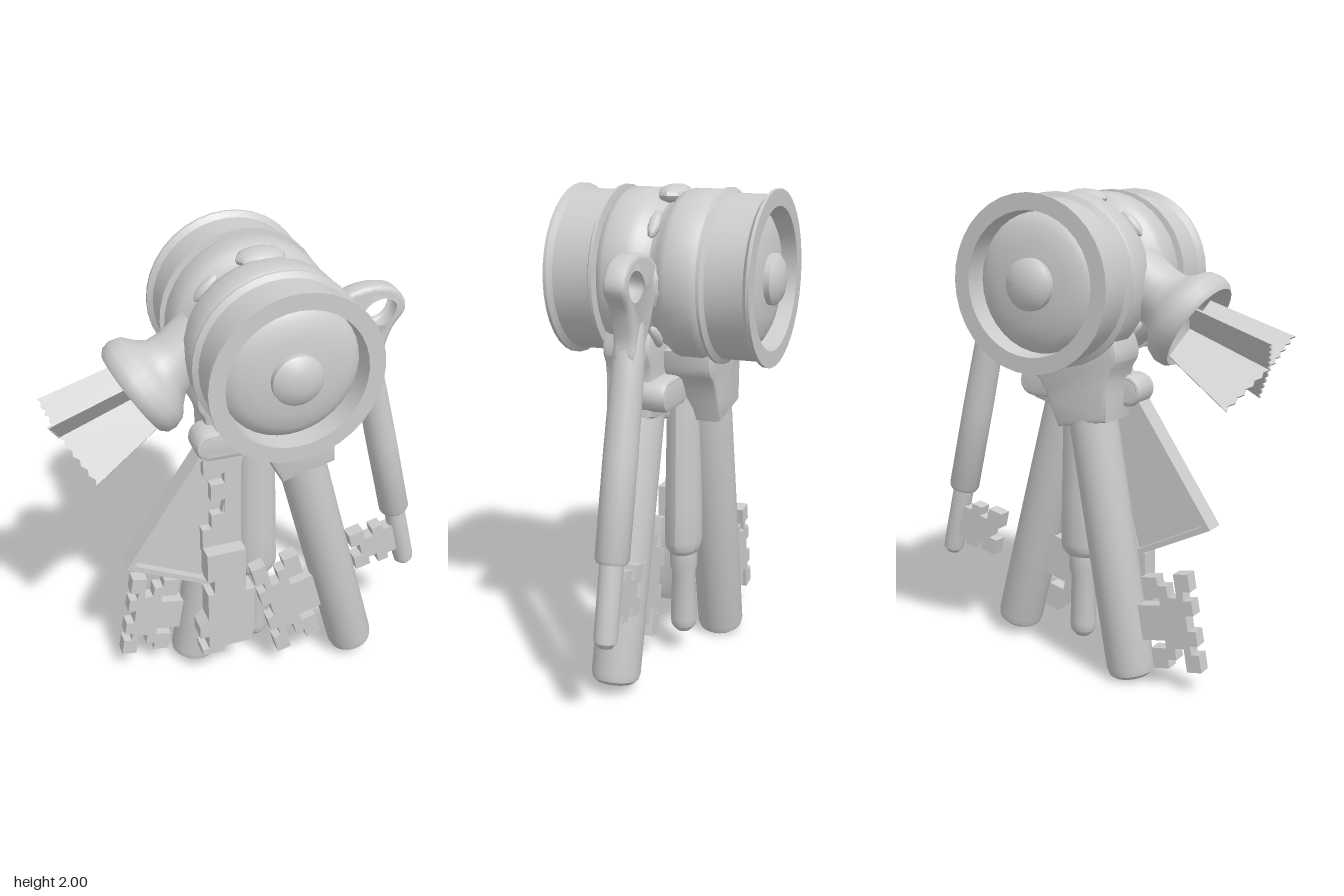
import * as THREE from 'three';
import { toCreasedNormals } from 'three/addons/utils/BufferGeometryUtils.js';

const grey = new THREE.MeshStandardMaterial({ color: 0xcccccc, side: THREE.DoubleSide });
grey.name = 'grey metal';

function part(parent, name, geometry, crease = 0.6) {
  const mesh = new THREE.Mesh(toCreasedNormals(geometry, crease), grey);
  mesh.name = name;
  parent.add(mesh);
  return mesh;
}
const vectors = (pts) => pts.map(([x, y]) => new THREE.Vector2(x, y));
const lathe = (pts, sides = 24) => new THREE.LatheGeometry(vectors(pts), sides);

// Flat plate in the xy plane, centred on z, with optional holes and bevel
function plate(pts, depth, { holes = [], bevel = 0 } = {}) {
  const shape = new THREE.Shape(vectors(pts));
  holes.forEach((h) => shape.holes.push(new THREE.Path(vectors(h))));
  const g = new THREE.ExtrudeGeometry(shape, {
    depth: depth - 2 * bevel, bevelEnabled: bevel > 0, bevelSize: bevel,
    bevelThickness: bevel, bevelOffset: -bevel, bevelSegments: 2, curveSegments: 6,
  });
  return g.translate(0, 0, bevel - depth / 2);
}

// Closed outline smoothed through a few points
function smooth(pts, n = 40) {
  const c = new THREE.CatmullRomCurve3(pts.map(([x, y]) => new THREE.Vector3(x, y, 0)), true);
  return c.getPoints(n).slice(0, n).map((p) => [p.x, p.y]);
}

// Horizontal stadium outline
function stadium(x0, x1, y, r) {
  const pts = [];
  for (let i = 0; i <= 8; i++) pts.push([x1 - r + r * Math.sin(Math.PI * i / 8), y - r * Math.cos(Math.PI * i / 8)]);
  for (let i = 0; i <= 8; i++) pts.push([x0 + r - r * Math.sin(Math.PI * i / 8), y + r * Math.cos(Math.PI * i / 8)]);
  return pts;
}

// Toothed bit of a key: upper half of the outline, mirrored about its middle
function bit(top, length) {
  const half = [
    [-0.05, 0.32], [-0.2, 0.32], [-0.2, 0.24], [-0.13, 0.24], [-0.13, 0.03], [-0.2, 0.03], [-0.2, 0.12],
    [-0.24, 0.12], [-0.24, 0.24], [-0.28, 0.24], [-0.28, 0], [-0.345, 0], [-0.345, 0.18],
    [-0.31, 0.18], [-0.31, 0.27], [-0.345, 0.27], [-0.345, 0.42], [-0.31, 0.42],
  ];
  const all = [...half, ...half.slice().reverse().map(([x, t]) => [x, 1 - t])];
  return plate(all.map(([x, t]) => [x, -top - t * length]), 0.06);
}

function createDrum(group) {
  const drum = new THREE.Group();
  drum.name = 'drum';
  drum.position.set(0.06, 1.65, 0);
  group.add(drum);

  // Body, flanges, recessed domed ends and hubs as one mirrored profile
  const half = [
    [0.29, 0], [0.3, 0.03], [0.325, 0.05], [0.336, 0.08], [0.336, 0.17], [0.325, 0.195], [0.31, 0.205],
    [0.343, 0.21], [0.343, 0.222], [0.322, 0.235], [0.322, 0.385], [0.343, 0.402], [0.343, 0.415],
    [0.278, 0.415], [0.272, 0.33], [0.255, 0.35], [0.22, 0.37], [0.16, 0.385], [0.1, 0.392],
    [0.1, 0.415], [0.08, 0.432], [0.04, 0.445], [0, 0.448],
  ];
  const profile = [...half.slice(1).reverse().map(([r, z]) => [r, -z]), ...half];
  part(drum, 'drumBody', lathe(profile, 36).rotateX(Math.PI / 2));

  // Lugs and small studs along the central groove
  for (let i = 0; i < 8; i++) {
    const lug = i % 2 === 0;
    const size = lug ? [0.1, 0.04, 0.068] : [0.065, 0.025, 0.025];
    const g = new THREE.SphereGeometry(1, 10, 8).scale(...size).translate(0, lug ? 0.31 : 0.305, 0);
    part(drum, lug ? 'grooveLug' : 'grooveStud', g).rotation.z = i * Math.PI / 4;
  }

  // Two thick barrels with sockets and bits, radial to the drum
  for (const [name, angle, z, bitTop, bitLength] of [
    ['frontBarrel', 0.257, 0.1, 1.01, 0.51],
    ['rearBarrel', -0.174, -0.1, 1.217, 0.41],
  ]) {
    const arm = new THREE.Group();
    arm.name = name;
    arm.position.z = z;
    arm.rotation.z = angle;
    drum.add(arm);
    part(arm, 'barrelTube', lathe([[0, -1.658], [0.075, -1.658], [0.093, -1.643], [0.1, -1.615], [0.1, -0.5], [0, -0.5]]));
    const side = [[0.2, -0.25], [0.21, -0.31], [0.2, -0.35], [0.172, -0.38], [0.15, -0.43], [0.14, -0.48], [0.117, -0.58]];
    const outline = [...side, ...side.slice().reverse().map(([x, y]) => [-x, y])];
    part(arm, 'barrelSocket', plate(outline, 0.2, { bevel: 0.02 }));
    part(arm, 'barrelBit', bit(bitTop, bitLength));
  }
}

function createHorn(group) {
  // Flared horn on the drum's right side
  const axis = new THREE.Vector3(0.836, 0.549, 0).normalize();
  const horn = part(group, 'horn', lathe([
    [0, 0.1], [0.1, 0.07], [0.16, 0.01], [0.185, -0.005], [0.203, 0.015], [0.208, 0.05], [0.195, 0.09],
    [0.155, 0.125], [0.125, 0.16], [0.118, 0.22], [0.13, 0.34],
  ], 28), 1.2);
  horn.position.set(-0.455, 1.48, 0);
  horn.quaternion.setFromUnitVectors(new THREE.Vector3(0, 1, 0), axis);

  // Four thin flaring fins with ragged ends, crossed like an X
  const along = new THREE.Vector3(-0.93, -0.365, 0).normalize();
  for (const [up, z, end, root] of [[0.127, 0.11, 0.37, 0.85], [-0.173, 0.16, 0.32, 0.62]]) {
    for (const s of [1, -1]) {
      const reach = Math.hypot(up, z);
      const dir = new THREE.Vector3(0.365 * -up, 0.93 * up, s * z).normalize();
      const pts = [[0, 0], [0, reach * root]];
      for (let i = 0; i <= 10; i++) {
        const t = 1 - i / 10;
        pts.push([0.365 + (end - 0.365) * t - (i % 2) * 0.012, reach * t]);
      }
      const fin = part(group, 'hornFin', plate(pts, 0.008));
      fin.matrix.makeBasis(along, dir, along.clone().cross(dir));
      fin.matrix.setPosition(-0.42, 1.47, 0);
      fin.matrix.decompose(fin.position, fin.quaternion, fin.scale);
    }
  }
}

function createLongKey(group) {
  const key = new THREE.Group();
  key.name = 'longKey';
  group.add(key);
  // Loop handle and flared neck
  const outer = smooth([[0.34, 1.7], [0.41, 1.765], [0.52, 1.787], [0.62, 1.76], [0.665, 1.68], [0.61, 1.59],
    [0.58, 1.48], [0.58, 1.4], [0.5, 1.39], [0.46, 1.45], [0.39, 1.56]], 60);
  const hole = smooth([[0.455, 1.66], [0.49, 1.725], [0.57, 1.75], [0.635, 1.71], [0.625, 1.64], [0.575, 1.6], [0.51, 1.61]], 28);
  part(key, 'keyLoop', plate(outer, 0.088, { holes: [hole], bevel: 0.018 }), 0.9);

  // Shaft, pin and bit along a tilted axis
  const stem = new THREE.Group();
  stem.name = 'keyStem';
  stem.position.set(0.5, 1.54, 0);
  stem.rotation.z = 0.232;
  key.add(stem);
  part(stem, 'keyShaft', lathe([[0, -0.9], [0.058, -0.9], [0.066, -0.885], [0.066, -0.5], [0.063, -0.25], [0.06, -0.12], [0.05, -0.02], [0.03, 0.04], [0, 0.05]], 18), 0.9);
  part(stem, 'keyPin', lathe([[0, -1.225], [0.025, -1.22], [0.043, -1.2], [0.046, -1.17], [0.046, -0.88]], 16));
  part(stem, 'keyBit', plate([
    [0, -0.97], [-0.08, -0.97], [-0.08, -0.94], [-0.13, -0.94], [-0.13, -0.98], [-0.17, -0.98], [-0.17, -0.93], [-0.24, -0.93],
    [-0.24, -1], [-0.2, -1], [-0.2, -1.06], [-0.24, -1.06], [-0.24, -1.13], [-0.17, -1.13], [-0.17, -1.09],
    [-0.13, -1.09], [-0.13, -1.14], [-0.08, -1.14], [-0.08, -1.11], [0, -1.11],
  ], 0.06));
}

function createHangingParts(group) {
  // Slotted link below the drum
  part(group, 'link', plate(stadium(-0.23, 0.35, 1.205, 0.065), 0.14, { holes: [stadium(-0.195, 0.315, 1.21, 0.026)], bevel: 0.02 })).position.z = 0.005;

  // Central key: swelling shaft, collar and round pin
  const centre = new THREE.Group();
  centre.name = 'centreKey';
  centre.position.set(0.055, 0, -0.03);
  group.add(centre);
  part(centre, 'centreShaft', lathe([[0, 0.475], [0.075, 0.475], [0.092, 0.495], [0.098, 0.53], [0.095, 0.7], [0.085, 1.1], [0.07, 1.35]], 12).scale(1, 1, 0.78));
  part(centre, 'centrePin', lathe([[0, 0.1], [0.03, 0.11], [0.052, 0.135], [0.056, 0.17], [0.05, 0.38], [0.058, 0.41], [0.058, 0.48]], 14));

  // Framed panel with a thin raised rim
  const rim = [[-0.54, 0.675], [-0.18, 0.5], [0.02, 1.33], [-0.1, 1.33]];
  const inner = [[-0.505, 0.685], [-0.2, 0.535], [-0.02, 1.31], [-0.095, 1.31]];
  part(group, 'panelRim', plate(rim, 0.09, { holes: [inner] })).position.z = 0.01;
  part(group, 'panel', plate(inner, 0.02)).position.z = 0.01;

  // Flat key: notched upper blade and wider lower blade
  part(group, 'flatKeyUpper', plate([
    [-0.21, 0.68], [-0.04, 0.68], [-0.04, 1.2], [-0.2, 1.2], [-0.2, 1.07], [-0.11, 1.07], [-0.11, 1.02],
    [-0.17, 1.02], [-0.17, 0.94], [-0.11, 0.94], [-0.11, 0.87], [-0.17, 0.87], [-0.17, 0.8], [-0.21, 0.8],
  ], 0.06)).position.z = 0.03;
  part(group, 'flatKeyLower', plate([
    [-0.21, 0.71], [-0.04, 0.71], [-0.04, 0.49], [0, 0.49], [0, 0.26], [-0.02, 0.2], [-0.14, 0.2], [-0.14, 0.17], [-0.24, 0.17],
    [-0.24, 0.2], [-0.21, 0.2], [-0.21, 0.27], [-0.25, 0.27], [-0.25, 0.33], [-0.21, 0.36], [-0.21, 0.5], [-0.18, 0.5], [-0.18, 0.57], [-0.21, 0.57],
  ], 0.09)).position.z = 0.08;
}

export function createModel() {
  const group = new THREE.Group();
  group.name = 'keyBundle';
  createDrum(group);
  createHorn(group);
  createLongKey(group);
  createHangingParts(group);
  return group;
}
